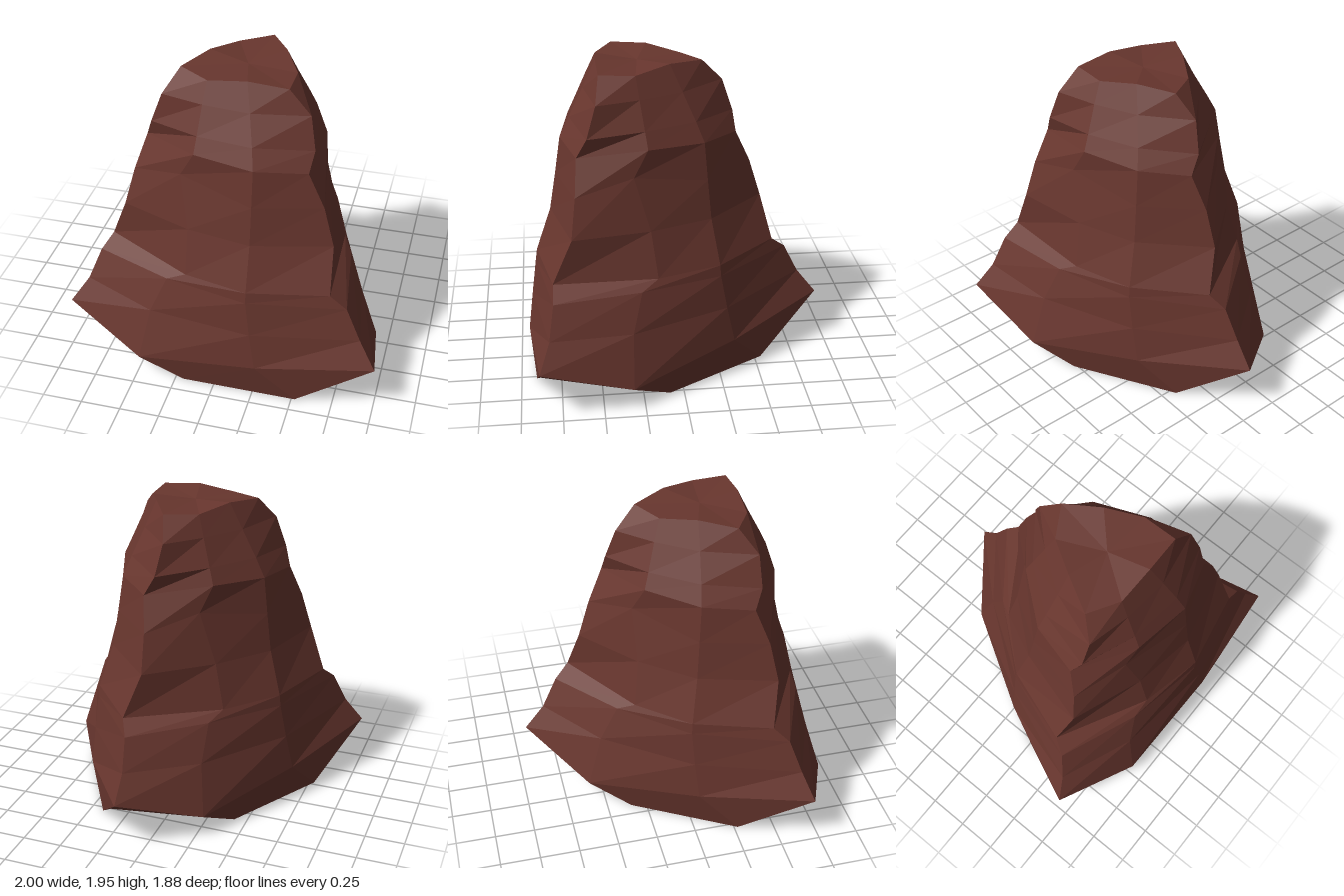
import * as THREE from 'three';

// The boulder has three equal faces turned about this upright axis.
const AXIS = { x: 0.05, z: 0.213 };

// One face from the ground up; each row is [corner ridge, left rib, right rib].
const ROWS = [
  [[-0.89, 0.17, 0.51], [-0.2, 0, 0.9], [0.52, 0, 0.905]],
  [[-1.0, 0.32, 0.7], [-0.48, 0.14, 0.92], [0.27, 0.23, 0.94]],
  [[-0.89, 0.48, 0.64], [-0.42, 0.46, 0.83], [0.23, 0.46, 0.91]],
  [[-0.815, 0.675, 0.575], [-0.32, 0.69, 0.78], [0.2, 0.68, 0.88]],
  [[-0.76, 0.755, 0.485], [-0.2, 0.745, 0.78], [0.2, 0.75, 0.87]],
  [[-0.65, 1.03, 0.535], [-0.2, 1.03, 0.705], [0.2, 1.03, 0.775]],
  [[-0.59, 1.27, 0.49], [-0.26, 1.36, 0.62], [0.2, 1.27, 0.735]],
  [[-0.525, 1.48, 0.41], [-0.17, 1.52, 0.64], [0.2, 1.5, 0.7]],
  [[-0.48, 1.6, 0.46], [-0.16, 1.62, 0.595], [0.18, 1.62, 0.64]],
  [[-0.41, 1.79, 0.455], [-0.145, 1.79, 0.52], [0.145, 1.79, 0.55]],
  [[-0.32, 1.93, 0.35], [-0.13, 1.92, 0.46], [0.11, 1.95, 0.47]],
];

// Turn a point of the front face onto face k.
function turn([x, y, z], k) {
  return new THREE.Vector3(x - AXIS.x, y, z - AXIS.z)
    .applyAxisAngle(new THREE.Vector3(0, 1, 0), (k * Math.PI * 2) / 3)
    .add(new THREE.Vector3(AXIS.x, 0, AXIS.z));
}

// Hollow shell, open underneath with a raised notch under each corner
function boulderGeometry() {
  const rings = ROWS.map((row) => [0, 1, 2].flatMap((k) => row.map((p) => turn(p, k))));
  const n = rings[0].length;
  const points = [];
  const tri = (a, b, c) => points.push(a, b, c);

  // Faceted sides
  for (let r = 0; r < rings.length - 1; r++) {
    for (let i = 0; i < n; i++) {
      const j = (i + 1) % n;
      const [a, b, c, d] = [rings[r][i], rings[r][j], rings[r + 1][j], rings[r + 1][i]];
      tri(a, b, c);
      tri(a, c, d);
    }
  }

  // Slightly dished crown
  const top = rings[rings.length - 1];
  const crown = new THREE.Vector3(AXIS.x, 1.925, AXIS.z);
  for (let i = 0; i < n; i++) tri(top[i], top[(i + 1) % n], crown);

  const geometry = new THREE.BufferGeometry().setFromPoints(points);
  geometry.computeVertexNormals();
  return geometry;
}

export function createModel() {
  const redRock = new THREE.MeshStandardMaterial({
    color: 0x68362e,
    flatShading: true,
    side: THREE.DoubleSide,
  });
  redRock.name = 'redRock';

  const boulder = new THREE.Mesh(boulderGeometry(), redRock);
  boulder.name = 'boulder';

  const group = new THREE.Group();
  group.name = 'rock';
  group.add(boulder);
  return group;
}
